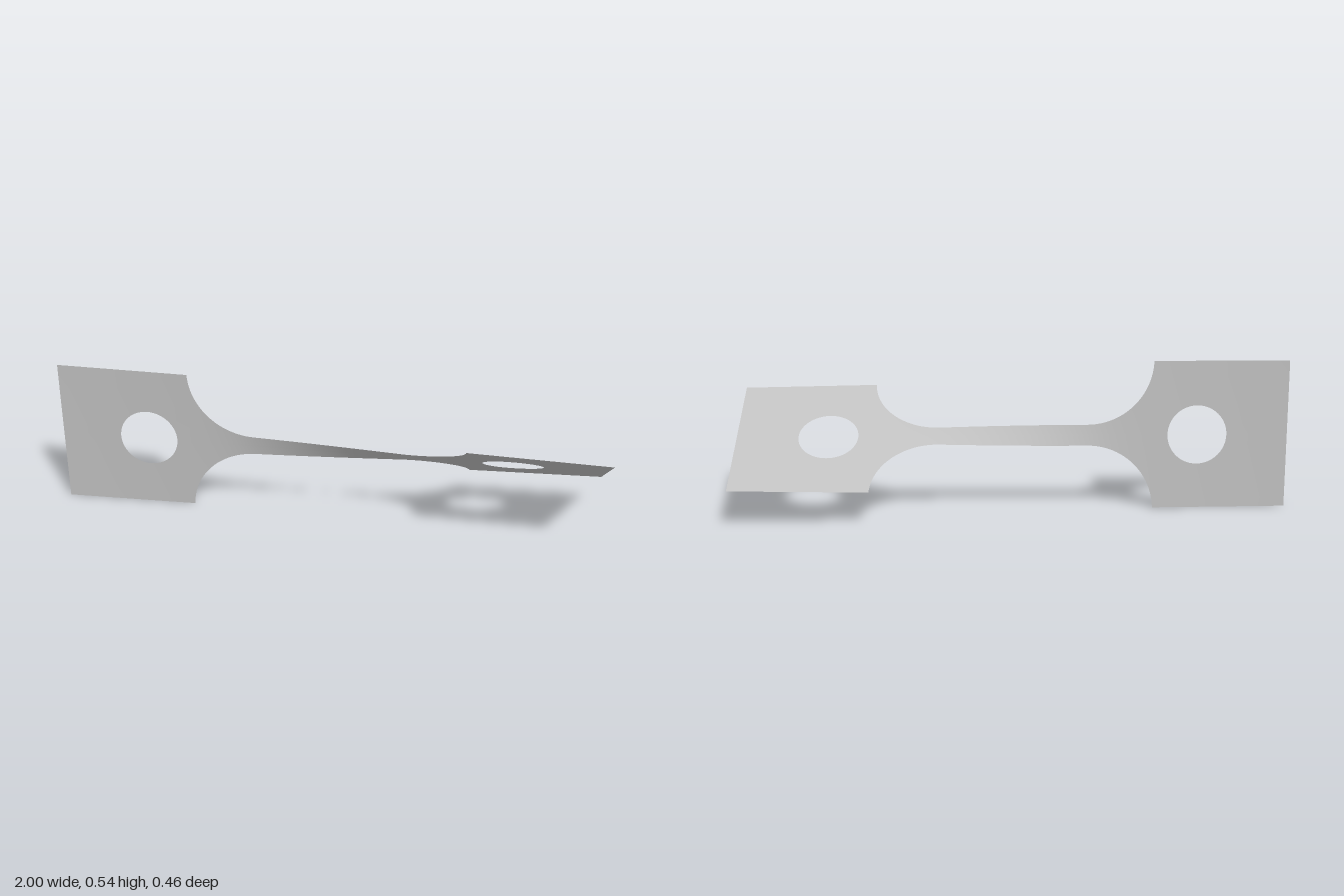
import * as THREE from 'three';
import { mergeVertices } from 'three/addons/utils/BufferGeometryUtils.js';

const HEAD = 0.271, NECK = 0.038, FILLET = 0.24;   // half widths, fillet radius
const NECK_END = 0.27, HEAD_START = 0.51;
const HOLE_X = 0.67, HOLE_R = 0.108;
const TWIST = THREE.MathUtils.degToRad(58.5);

// Half width of the strip at x: wide head, round fillet, narrow neck
function halfWidth(x) {
  const u = Math.abs(x) - NECK_END;
  if (u <= 0) return NECK;
  if (u >= FILLET) return HEAD;
  return Math.min(HEAD, NECK + FILLET - Math.sqrt(FILLET * FILLET - u * u));
}

// Half height of the round hole at x
function holeEdge(x) {
  const d = Math.abs(x) - HOLE_X;
  return Math.sqrt(Math.max(0, HOLE_R * HOLE_R - d * d));
}

// The strip twists fastest where it is narrowest
function makeTwist(steps = 1000) {
  const table = [0];
  for (let i = 0; i < steps; i++) {
    const x = -1 + (2 * (i + 0.5)) / steps;
    table.push(table[i] + Math.pow(NECK / halfWidth(x), 1.35));
  }
  return (x) => {
    const t = ((x + 1) / 2) * steps, i = Math.min(steps - 1, Math.floor(t));
    return (TWIST * THREE.MathUtils.lerp(table[i], table[i + 1], t - i)) / table[steps];
  };
}

// Columns along the strip, closer together round the fillets and holes
function makeColumns() {
  const half = [];
  for (let i = 1; i <= 12; i++) half.push((NECK_END * i) / 12);
  for (let i = 1; i < 24; i++) half.push(NECK_END + FILLET * Math.sin((i / 24) * Math.PI / 2));
  half.push(HEAD_START - 0.0001, HEAD_START);
  for (let i = 0; i <= 32; i++) half.push(HOLE_X - HOLE_R * Math.cos((i / 32) * Math.PI));
  for (let i = 1; i <= 6; i++) half.push(THREE.MathUtils.lerp(HOLE_X + HOLE_R, 1, i / 6));
  return [...half.map((x) => -x).reverse(), 0, ...half];
}

function makeStrip() {
  const columns = makeColumns(), twist = makeTwist(), rows = 8;
  const positions = [], index = [];
  for (const side of [1, -1]) {
    const base = positions.length / 3;
    columns.forEach((x, i) => {
      const a = twist(x), inner = holeEdge(x), outer = halfWidth(x);
      for (let j = 0; j <= rows; j++) {
        const v = side * THREE.MathUtils.lerp(inner, outer, j / rows);
        positions.push(x, HEAD + v * Math.cos(a), v * Math.sin(a));
        if (i === 0 || j === 0) continue;
        const d = base + i * (rows + 1) + j, c = d - rows - 1;
        if (side > 0) index.push(c - 1, d - 1, d, c - 1, d, c);
        else index.push(c - 1, d, d - 1, c - 1, c, d);
      }
    });
  }
  const geometry = new THREE.BufferGeometry();
  geometry.setAttribute('position', new THREE.Float32BufferAttribute(positions, 3));
  geometry.setIndex(index);
  const merged = mergeVertices(geometry, 1e-5);
  merged.computeVertexNormals();
  return merged;
}

export function createModel() {
  const grey = new THREE.MeshStandardMaterial({ color: 0xc0c0c0, side: THREE.DoubleSide });
  grey.name = 'light grey';
  const group = new THREE.Group();
  group.name = 'twistedTestStrip';
  const strip = new THREE.Mesh(makeStrip(), grey);
  strip.name = 'twistedStrip';
  group.add(strip);
  return group;
}
